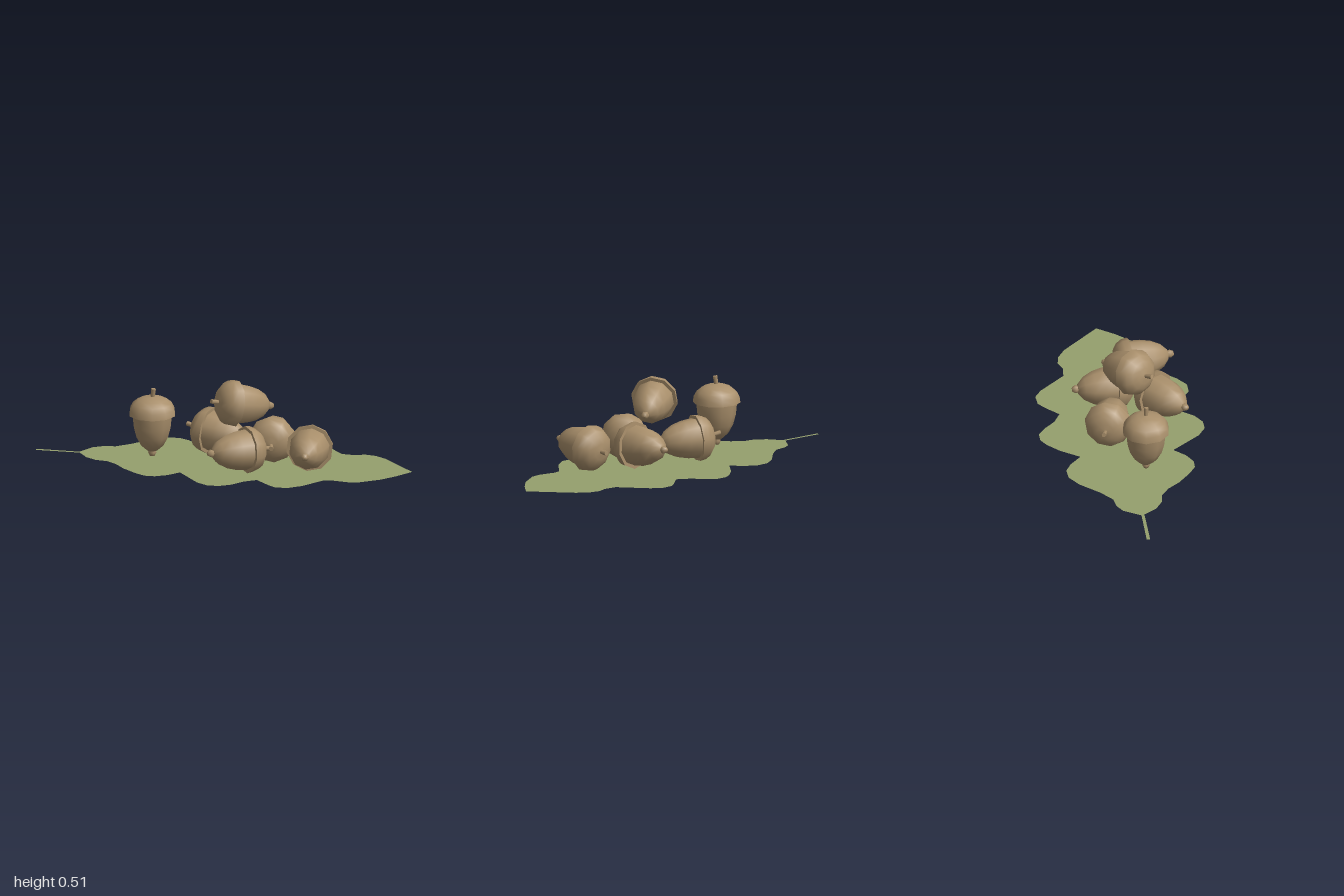
import * as THREE from 'three';

const nutMat = new THREE.MeshStandardMaterial({ color: 0xa98f6b });
nutMat.name = 'acorn brown';
const leafMat = new THREE.MeshStandardMaterial({ color: 0x95a06d, side: THREE.DoubleSide });
leafMat.name = 'leaf green';

const lathe = (points, sides) =>
  new THREE.LatheGeometry(points.map(([r, y]) => new THREE.Vector2(r, y)), sides);

function add(parent, name, geometry, material) {
  const mesh = new THREE.Mesh(geometry, material);
  mesh.name = name;
  parent.add(mesh);
  return mesh;
}

// Acorn profiles, with y = 0 at the rim of the cap
const stem = new THREE.CylinderGeometry(0.014, 0.011, 0.075, 6);
stem.rotateZ(-0.14).translate(0.004, 0.118, 0);
const acornParts = {
  nut: lathe([[0, -0.222], [0.03, -0.215], [0.067, -0.182], [0.095, -0.13],
    [0.111, -0.07], [0.117, -0.01], [0.117, 0.01]], 10),
  capUnderside: lathe([[0.1, 0], [0.137, 0]], 10),
  cap: lathe([[0.137, 0], [0.132, 0.035], [0.115, 0.066], [0.085, 0.09],
    [0.048, 0.104], [0, 0.11]], 10),
  stem,
  nub: lathe([[0, -0.252], [0.014, -0.249], [0.024, -0.23], [0.017, -0.205]], 6),
};

// Rim centre and the direction the stem points
const acorns = [
  ['standingAcorn', [-0.33, 0.28, 0.285], [0, 1, 0]],
  ['leftAcorn', [-0.125, 0.148, -0.003], [-0.98, 0.06, 0.12]],
  ['frontAcorn', [0.25, 0.145, 0.165], [0.43, -0.05, -0.9]],
  ['backAcorn', [0.255, 0.147, -0.085], [0.5, -0.05, 0.85]],
  ['rightAcorn', [0.53, 0.147, -0.07], [-0.49, -0.07, -0.87]],
  ['topAcorn', [0.1, 0.373, 0.072], [-0.47, 0.19, 0.86]],
];

// Leaf outline as x, z pairs: back edge from stalk to tip, then front edge to the stalk
const backEdge = [
  [-0.77, 0.4], [-0.755, 0.28], [-0.72, 0.23], [-0.66, 0.19], [-0.615, 0.1], [-0.57, -0.04],
  [-0.52, -0.12], [-0.455, -0.155], [-0.385, -0.15], [-0.295, -0.12], [-0.27, -0.25],
  [-0.235, -0.34], [-0.2, -0.39], [-0.145, -0.415], [-0.07, -0.4], [0.005, -0.37],
  [0.09, -0.365], [0.125, -0.455], [0.155, -0.515], [0.22, -0.55], [0.29, -0.54],
  [0.475, -0.46], [0.545, -0.485], [0.59, -0.53], [0.65, -0.545], [0.73, -0.535], [1, -0.425],
];
const frontEdge = [
  [0.975, -0.305], [0.94, -0.2], [0.87, -0.085], [0.82, -0.05], [0.715, -0.02],
  [0.685, 0.005], [0.645, 0.165], [0.6, 0.245], [0.535, 0.275], [0.485, 0.265],
  [0.37, 0.225], [0.325, 0.295], [0.305, 0.38], [0.26, 0.445], [0.2, 0.475], [0.12, 0.465],
  [-0.07, 0.37], [-0.1, 0.455], [-0.145, 0.515], [-0.2, 0.54], [-0.275, 0.53],
  [-0.38, 0.5], [-0.46, 0.46], [-0.535, 0.445], [-0.6, 0.465], [-0.675, 0.455],
];

function flatShape(points) {
  const shape = new THREE.Shape(points.map(([x, z]) => new THREE.Vector2(x, -z)));
  return new THREE.ShapeGeometry(shape).rotateX(-Math.PI / 2);
}

export function createModel() {
  const model = new THREE.Group();
  model.name = 'acornsOnLeaf';

  // Flat lobed leaf with its stalk
  const leaf = new THREE.Group();
  leaf.name = 'leaf';
  model.add(leaf);
  add(leaf, 'leafBlade', flatShape([...backEdge, ...frontEdge]), leafMat);
  add(leaf, 'leafStalk',
    flatShape([[-1, 0.497], [-0.77, 0.395], [-0.76, 0.41], [-0.99, 0.515]]), leafMat);

  // Acorns, each turned along its own axis
  const up = new THREE.Vector3(0, 1, 0);
  for (const [name, position, axis] of acorns) {
    const acorn = new THREE.Group();
    acorn.name = name;
    for (const [part, geometry] of Object.entries(acornParts)) add(acorn, part, geometry, nutMat);
    acorn.position.set(...position);
    acorn.quaternion.setFromUnitVectors(up, new THREE.Vector3(...axis).normalize());
    model.add(acorn);
  }
  return model;
}
